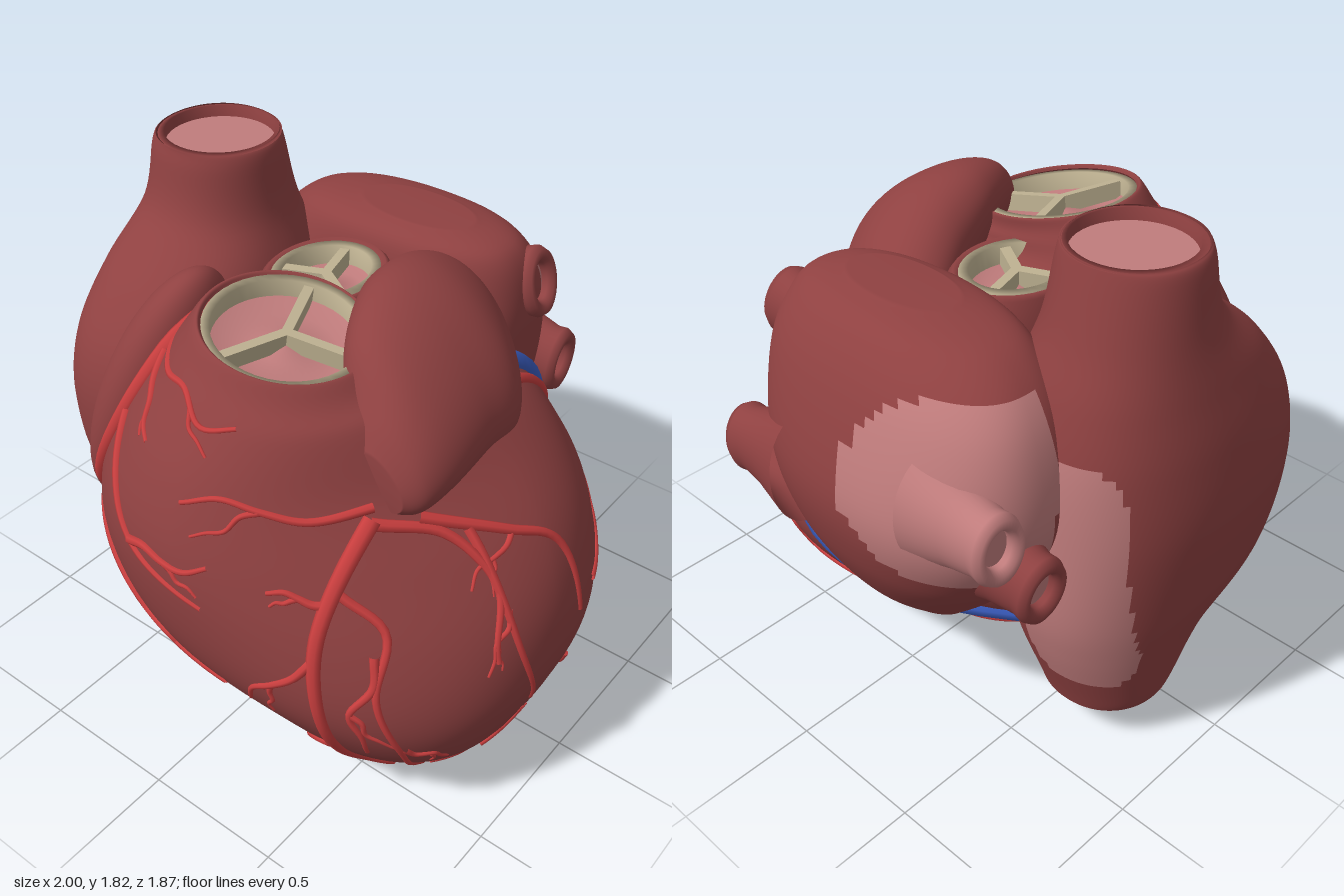
import * as THREE from 'three';

const paint = (color, name) => Object.assign(new THREE.MeshStandardMaterial({ color, side: THREE.DoubleSide }), { name });

// Key rings are [y, xMin, xMax, xMid, zMin, zMax, zMid, n, nRest]: n rounds the front left quarter, nRest the others
const full = ([y, x0, x1, z0, z1, n = 2.1]) => [y, x0, x1, (x0 + x1) / 2, z0, z1, (z0 + z1) / 2, n, n];

function ringAtT(keys, t) {
  const i = Math.min(Math.floor(t), keys.length - 2), f = t - i;
  const k = (j) => keys[Math.max(0, Math.min(keys.length - 1, j))];
  return keys[0].map((_, c) => {
    const a = k(i - 1)[c], b = k(i)[c], d = k(i + 1)[c], e = k(i + 2)[c];
    return b + 0.5 * f * (d - a + f * (2 * a - 5 * b + 4 * d - e + f * (3 * (b - d) + e - a)));
  });
}

function ringAtY(keys, y) {
  let lo = 0, hi = keys.length - 1;
  for (let i = 0; i < 30; i++) {
    const mid = (lo + hi) / 2;
    if (ringAtT(keys, mid)[0] < y) lo = mid; else hi = mid;
  }
  return ringAtT(keys, lo);
}

const quadN = (ring, dx, dz) => (dx > 0 && dz > 0 ? ring[7] : ring[8]);

// Smooth skin over key rings; faces passing the patch test use the second material
function loft(keys, { patch, bend, capBottom = true, capTop = true } = {}) {
  const seg = 112, steps = (keys.length - 1) * 8, pos = [], plain = [], patched = [];
  const rings = Array.from({ length: steps + 1 }, (_, i) => ringAtT(keys, i / 8));
  const shrink = (r) => [r[0], r[3], r[3], r[3], r[6], r[6], r[6], r[7], r[8]];
  if (capBottom) rings.unshift(shrink(rings[0]));
  if (capTop) rings.push(shrink(rings[rings.length - 1]));
  for (const ring of rings) {
    const [y, x0, x1, cx, z0, z1, cz] = ring;
    for (let j = 0; j < seg; j++) {
      const a = j / seg * Math.PI * 2, c = Math.cos(a), s = Math.sin(a), e = 2 / quadN(ring, c, s);
      const x = cx + (c > 0 ? x1 - cx : x0 - cx) * Math.abs(c) ** e;
      const z = cz + (s > 0 ? z1 - cz : z0 - cz) * Math.abs(s) ** e;
      pos.push(x, bend ? bend(x, y) : y, z);
    }
  }
  for (let i = 0; i < rings.length - 1; i++) {
    for (let j = 0; j < seg; j++) {
      const a = i * seg + j, b = i * seg + (j + 1) % seg, c = a + seg, d = b + seg;
      const hit = patch && patch(pos[a * 3], pos[a * 3 + 1], pos[a * 3 + 2]);
      (hit ? patched : plain).push(a, c, b, b, c, d);
    }
  }
  const g = new THREE.BufferGeometry();
  g.setAttribute('position', new THREE.Float32BufferAttribute(pos, 3));
  g.setIndex([...plain, ...patched]);
  g.addGroup(0, plain.length, 0);
  g.addGroup(plain.length, patched.length, 1);
  g.computeVertexNormals();
  return g;
}

const VENTRICLES = [
  [0, .5, .59, .54, 0, .12, .06, 2.1], [.045, .15, .75, .47, -.24, .45, .09, 2.3],
  [.2, -.36, .88, .35, -.46, .63, .1, 2.6], [.36, -.63, .95, .3, -.6, .75, .1, 2.7],
  [.55, -.74, 1, .2, -.7, .86, .1, 2.3], [.78, -.76, .98, .12, -.69, .905, .1, 1.9],
  [1, -.7, .88, .07, -.63, .9, .06, 1.7], [1.22, -.57, .68, .05, -.48, .83, .05, 1.8],
  [1.4, -.37, .5, .06, -.02, .73, .25, 2], [1.5, -.25, .41, .07, .06, .66, .33, 2],
  [1.56, -.2, .35, .07, .07, .62, .34, 2]].map((ring) => [...ring, 2]);
const RIM = [1.55, -.185, .335, .07, .085, .605, .34, 2, 2];

// Places a flat (u, y) point on the ventricles, seen from the front, back or left side
function onHeart(view, u, y) {
  const ring = ringAtY(VENTRICLES, y), [, x0, x1, cx, z0, z1, cz] = ring;
  const rest = (d, len, e) => (1 - Math.min(1, Math.abs(d / len)) ** e) ** (1 / e);
  if (view === 'side') {
    return new THREE.Vector3(cx + (x1 - cx) * rest(u - cz, u > cz ? z1 - cz : z0 - cz, quadN(ring, 1, u - cz)), y, u);
  }
  const s = view === 'front' ? 1 : -1, e = quadN(ring, u - cx, s);
  return new THREE.Vector3(u, y, cz + ((s > 0 ? z1 : z0) - cz) * rest(u - cx, u > cx ? x1 - cx : x0 - cx, e));
}

// Tapered vessel lying on the surface
function vessel(view, r, pts, taper) {
  const flat = new THREE.CatmullRomCurve3(pts.map(([u, y]) => new THREE.Vector3(u, y, 0)));
  const path = new THREE.CatmullRomCurve3(flat.getPoints(pts.length * 4).map((p) => onHeart(view, p.x, p.y)));
  const n = pts.length * 7, g = new THREE.TubeGeometry(path, n, r, 7), p = g.attributes.position, v = new THREE.Vector3();
  for (let i = 0; i <= n; i++) {
    const c = path.getPointAt(i / n), k = 1 - (1 - taper) * i / n;
    for (let j = 0; j < 8; j++) {
      v.fromBufferAttribute(p, i * 8 + j).sub(c).multiplyScalar(k).add(c);
      p.setXYZ(i * 8 + j, v.x, v.y, v.z);
    }
  }
  return g;
}

export function createModel() {
  const heart = new THREE.Group();
  const muscle = paint(0x8f4141, 'muscle red'), lining = paint(0xc07c7c, 'lining pink');
  const artery = paint(0xc83e3e, 'artery red'), blue = paint(0x3a5cbe, 'vein blue'), beige = paint(0xbfb292, 'valve beige');
  const add = (name, geo, mat, parent = heart) => {
    const m = new THREE.Mesh(geo, mat);
    m.name = name;
    parent.add(m);
    return m;
  };
  const lathe = (...pts) => new THREE.LatheGeometry(pts.map(([r, y]) => new THREE.Vector2(r, y)), 40);

  // Ventricles, with the outlet rim dipping to the left
  const bend = (x, y) => y - (x - .07) * .17 * THREE.MathUtils.smoothstep(y, 1.4, 1.54);
  add('ventricles', loft([...VENTRICLES, RIM], { bend, capTop: false }), muscle);

  // Right atrium running into the upper and lower great veins
  const column = [[.16, -.85, -.42, -.38, .05], [.22, -.87, -.4, -.4, .07], [.45, -.92, -.34, -.48, .2, 2.2],
    [.65, -.97, -.3, -.52, .46, 2.3], [.95, -1, -.25, -.53, .52, 2.4], [1.2, -.98, -.27, -.52, .48, 2.4],
    [1.4, -.94, -.32, -.48, .34, 2.3], [1.58, -.9, -.39, -.42, .13], [1.78, -.87, -.42, -.37, .07], [1.82, -.85, -.44, -.36, .06]].map(full);
  const columnPatch = (x, y, z) => z < -.3 && ((x + .73) / .17) ** 4 + ((y - .77) / .47) ** 4 < 1;
  add('rightAtrium', loft(column, { patch: columnPatch, capBottom: false, capTop: false }), [muscle, lining]);
  for (const [name, y, s] of [['upper', 1.82, 1], ['lower', .16, -1]]) {
    const lip = add(name + 'VeinLip', lathe([.212, -.005], [.19, 0], [.185, -.1]), muscle);
    lip.position.set(-.64, y, -.155);
    lip.scale.y = s;
    const inside = add(name + 'VeinInside', new THREE.CircleGeometry(.195, 40).rotateX(-s * Math.PI / 2), lining);
    inside.position.set(-.64, y - s * .04, -.155);
  }

  // Right auricle, a long lobe leaning along the groove
  const lobe = add('rightAuricle', new THREE.SphereGeometry(1, 40, 28), muscle);
  lobe.scale.set(.16, .53, .25);
  lobe.position.set(-.5, 1.09, .36);
  lobe.quaternion.setFromUnitVectors(new THREE.Vector3(0, 1, 0), new THREE.Vector3(.34, .94, -.12).normalize());

  // Left atrium
  const atrium = [[.5, -.35, .1, -.68, -.45], [.58, -.45, .25, -.76, -.2, 2.2], [.8, -.62, .35, -.87, -.15, 2.4],
    [1.05, -.71, .39, -.91, -.17, 2.6], [1.35, -.66, .4, -.83, -.26, 2.6], [1.53, -.5, .34, -.72, -.3, 2.3],
    [1.585, -.25, .18, -.6, -.38]].map(full);
  const atriumPatch = (x, y, z) => z < -.5 && ((x + .52) / .33) ** 2 + ((y - 1.14) / .31) ** 2 < 1;
  add('leftAtrium', loft(atrium, { patch: atriumPatch }), [muscle, lining]);

  // Lung veins, two on each side
  function lungVein(x, y, z, dx, dy, dz, mat) {
    const g = new THREE.Group();
    g.name = 'lungVein';
    g.position.set(x, y, z);
    g.quaternion.setFromUnitVectors(new THREE.Vector3(0, 1, 0), new THREE.Vector3(dx, dy, dz).normalize());
    g.scale.set(1.15, 1, .85);
    heart.add(g);
    add('veinWall', lathe([.18, -.3], [.13, -.16], [.108, -.06], [.112, -.025], [.1, 0], [.075, 0], [.06, -.02], [.055, -.08]), mat, g);
    add('veinInside', new THREE.CircleGeometry(.06, 24).rotateX(-Math.PI / 2), lining, g).position.y = -.04;
  }
  lungVein(.42, 1.4, -.6, 1, .25, -.05, muscle);
  lungVein(.42, .96, -.81, 1, -.05, -.05, muscle);
  lungVein(-.73, 1.1, -.78, -1, 0, -.08, lining);
  lungVein(-.77, .88, -.64, -1, -.12, -.05, muscle);

  // Left auricle, a draped flap built along z and leaned over the shoulder
  const flap = [[-.42, -.2, .06, .12, .36], [-.3, -.28, .24, -.02, .42], [-.1, -.3, .37, -.14, .3], [.1, -.28, .36, -.16, .2],
    [.3, -.17, .37, -.14, .13], [.42, .01, .37, -.09, .13], [.48, .12, .33, -.02, .1]].map(full);
  const k = Math.SQRT1_2, auricle = add('leftAuricle', loft(flap), muscle);
  auricle.position.set(.4, 1.45, 0);
  auricle.quaternion.setFromRotationMatrix(new THREE.Matrix4().makeBasis(
    new THREE.Vector3(k, -k, 0), new THREE.Vector3(0, 0, 1), new THREE.Vector3(-k, -k, 0)));

  // Three-leaf valves
  function valve(name, r, depth, angles) {
    const g = new THREE.Group();
    g.name = name;
    heart.add(g);
    add('valveRing', lathe([r, -.1], [r, 0], [r - .028, 0], [r - .032, -.1]), beige, g);
    add('valveCups', lathe([0, -.045], [r * .3, -.075], [r * .65, -.085], [r, -.05]), lining, g);
    for (const deg of angles) {
      const seam = add('valveSeam', new THREE.BoxGeometry(r, .06, .032).translate(r / 2, -.04, 0), beige, g);
      seam.rotation.y = -deg * Math.PI / 180;
    }
    g.scale.z = depth;
    return g;
  }
  const front = valve('frontValve', .262, 1.01, [-113, -16, 107]);
  front.position.set(.075, 1.55, .345);
  front.rotation.set(.03, 0, -.17);
  valve('rearValve', .17, 1.2, [-109, 27, 160]).position.set(-.11, 1.5, -.07);
  const root = add('arteryRoot', lathe([.24, -.4], [.215, -.1], [.2, 0], [.185, .015], [.168, 0]), muscle);
  root.position.set(-.11, 1.49, -.07);
  root.scale.z = 1.2;

  // Main vessels
  const trunk = (view, r, mat, pts, taper = .45) =>
    add(mat === blue ? 'coronaryVein' : 'coronaryArtery', vessel(view, r, pts, taper), mat);
  trunk('front', .032, artery, [[.55, 1.17], [.53, .85], [.57, .5], [.58, .2], [.63, .1]]);
  trunk('front', .022, artery, [[.55, 1.16], [.7, 1.1], [.87, .92], [.94, .7]]);
  trunk('front', .017, artery, [[.55, .98], [.69, .86], [.71, .66], [.77, .4], [.72, .12]]);
  trunk('front', .032, artery, [[-.25, 1.5], [-.38, 1.2], [-.6, .76], [-.72, .52]], .7);
  trunk('front', .018, artery, [[-.35, 1.22], [-.28, 1.1], [-.14, .95], [.18, .86]]);
  trunk('front', .02, artery, [[-.61, .75], [-.3, .63], [-.12, .54], [.2, .5]]);
  trunk('side', .022, artery, [[.42, 1.15], [.2, 1.05], [.05, .96], [-.02, .65]]);
  trunk('side', .018, artery, [[.31, 1.09], [.31, .72], [.2, .4]]);
  trunk('side', .012, artery, [[-.3, .22], [0, .14], [.25, .13], [.5, .22]]);
  trunk('back', .022, artery, [[.54, 1.28], [.52, 1.05], [.44, .82]], .7);
  trunk('back', .016, artery, [[-.25, .47], [.2, .37], [.7, .38]]);
  trunk('back', .018, artery, [[-.5, .42], [-.1, .21], [.45, .07]]);
  trunk('front', .018, blue, [[-.72, .56], [-.5, .36], [-.1, .17], [.45, .08]]);
  trunk('front', .016, blue, [[-.72, .52], [-.68, .41], [-.36, .24]]);
  trunk('front', .012, blue, [[-.46, .68], [-.38, .5]]);
  trunk('front', .014, blue, [[-.15, .5], [.05, .34]]);
  trunk('back', .04, blue, [[.46, 1.3], [.43, .93], [.22, .62], [-.45, .44]], .7);

  // Forking twigs: start point, heading in degrees, length
  function twig(view, u, y, heading, len, r, forks = 1) {
    const a = heading * Math.PI / 180;
    const pts = [0, 1, 2, 3, 4].map((i) => {
      const d = i / 4 * len, w = i ? Math.sin(i * 2.3 + u * 9) * len * .06 : 0;
      return [u + Math.cos(a) * d - Math.sin(a) * w, y + Math.sin(a) * d + Math.cos(a) * w];
    });
    trunk(view, r, artery, pts);
    if (forks) twig(view, ...pts[2], heading + (u > .4 ? 35 : -35), len * .45, r * .65, 0);
  }
  const frontTwigs = [[.54, 1.2, 178, .47], [.54, .95, 168, .17], [.53, .77, 227, .34], [.57, .4, 226, .3], [.68, .8, 268, .42],
    [-.27, 1.46, -6, .45], [-.27, 1.42, -50, .2], [-.14, .95, 8, .34], [-.3, .63, -25, .5], [-.48, .69, -58, .2]];
  const sideTwigs = [[.18, 1.05, -25, .24], [.31, .85, -55, .22], [-.15, .67, 166, .36], [-.43, .6, -48, .3],
    [-.02, .42, -110, .2], [.35, .24, 160, .2], [.65, .42, 215, .18], [.2, .2, 200, .18]];
  for (const [u, y, heading, len] of frontTwigs) twig('front', u, y, heading, len, .017);
  for (const [u, y, heading, len] of sideTwigs) twig('side', u, y, heading, len, .012);
  twig('back', .2, .37, -42, .25, .011);
  twig('back', .4, .36, 50, .22, .011);
  return heart;
}
